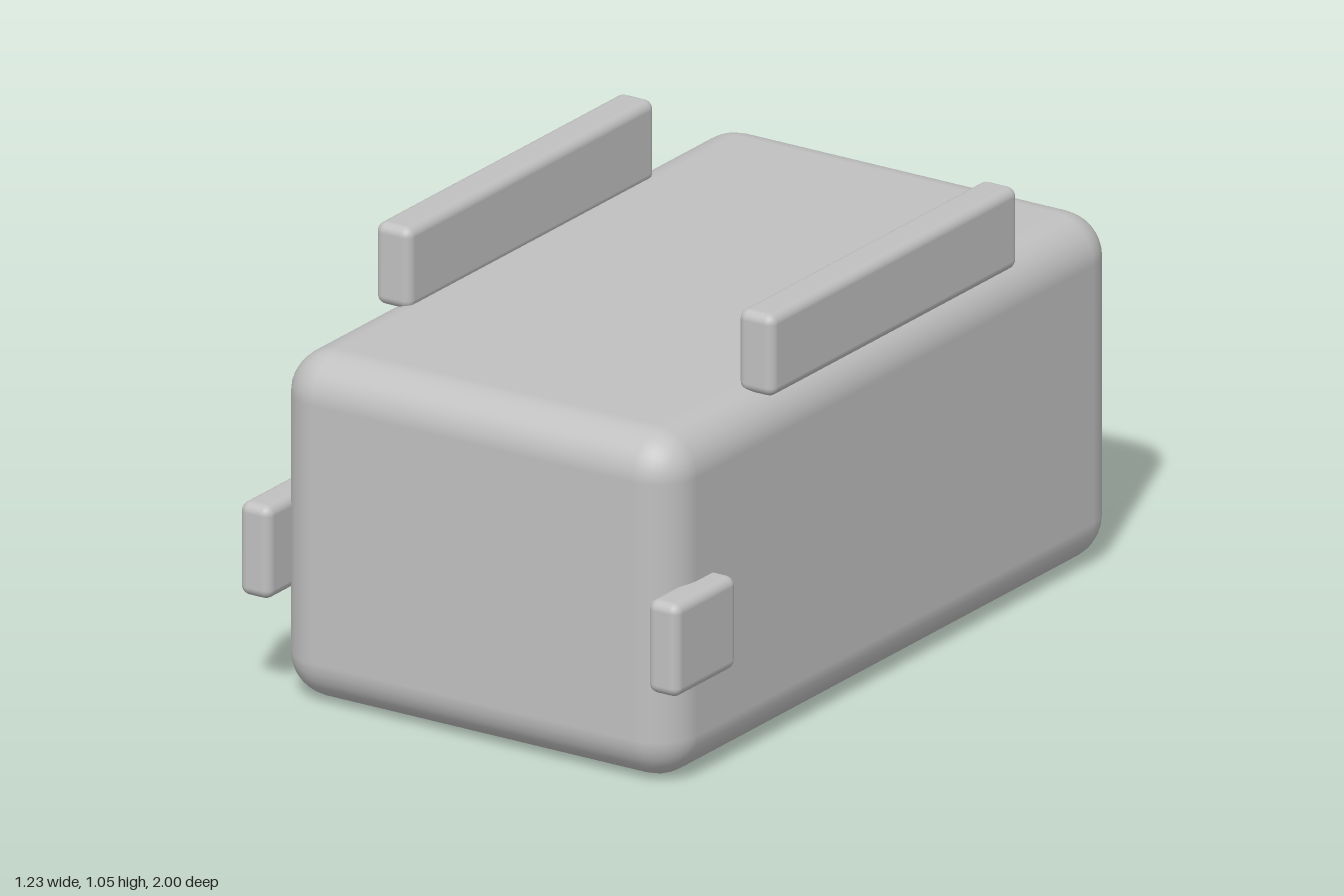
import * as THREE from 'three';
import { RoundedBoxGeometry } from 'three/addons/geometries/RoundedBoxGeometry.js';
import { toCreasedNormals } from 'three/addons/utils/BufferGeometryUtils.js';

export function createModel() {
  const model = new THREE.Group();
  const grey = new THREE.MeshStandardMaterial({ name: 'casing grey', color: 0xc0c0c0 });
  const red = new THREE.MeshStandardMaterial({ name: 'lens red', color: 0xd2736a });

  function add(name, geometry, material = grey) {
    const mesh = new THREE.Mesh(geometry, material);
    mesh.name = name;
    model.add(mesh);
    return mesh;
  }

  // Rounded block given by its lower and upper corners
  function block(name, lo, hi, radius) {
    const size = hi.map((v, i) => v - lo[i]);
    const mesh = add(name, new RoundedBoxGeometry(...size, 4, radius));
    mesh.position.set(...hi.map((v, i) => (v + lo[i]) / 2));
  }

  // Main housing
  block('body', [-0.56, 0, -0.945], [0.56, 0.865, 0.94], 0.11);

  // Top rails and front side tabs, mirrored left and right
  for (const [side, s] of [['left', 1], ['right', -1]]) {
    const mirrored = (name, x0, x1, y0, y1, z0, z1) =>
      block(side + name, [Math.min(s * x0, s * x1), y0, z0], [Math.max(s * x0, s * x1), y1, z1], 0.024);
    mirrored('TopRail', 0.46, 0.56, 0.85, 1.055, -0.52, 0.515);
    mirrored('SideTab', 0.53, 0.617, 0.265, 0.498, 0.745, 1.0);
  }

  // Raised label plate on the back
  block('backPlate', [-0.43, 0.55, -0.977], [-0.075, 0.69, -0.93], 0.015);

  // Round lens housing with a softened rim
  const profile = [[0.195, 0], [0.195, 0.058], [0.192, 0.065], [0.185, 0.07], [0, 0.07]]
    .map(([r, h]) => new THREE.Vector2(r, h));
  const ring = toCreasedNormals(new THREE.LatheGeometry(profile, 48), 0.9);
  ring.rotateX(-Math.PI / 2);
  add('lensHousing', ring).position.set(0.21, 0.43, -0.929);

  // Coloured lens face
  const lens = new THREE.CircleGeometry(0.122, 48);
  lens.rotateY(Math.PI);
  add('lens', lens, red).position.set(0.21, 0.43, -1.001);

  return model;
}
